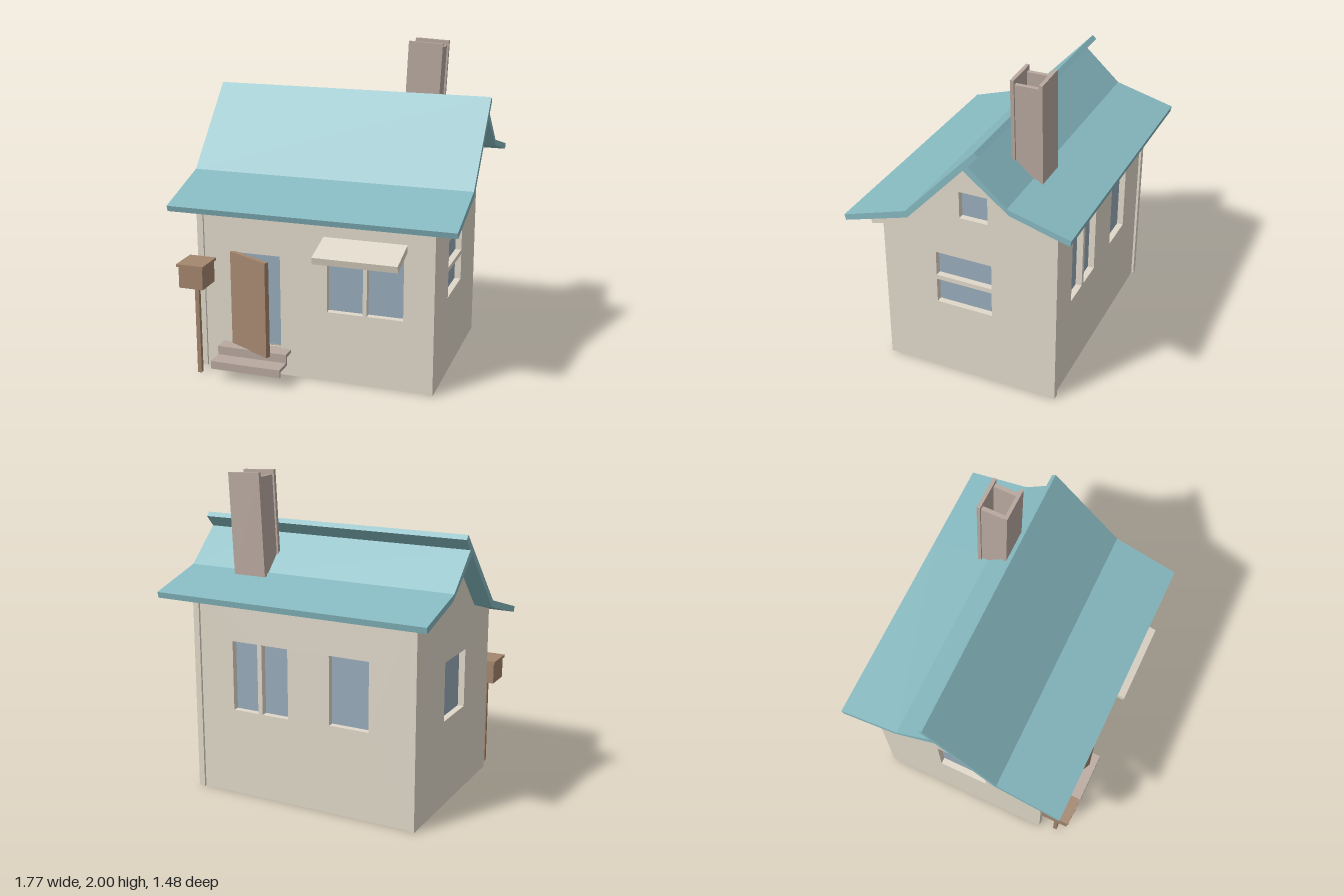
import * as THREE from 'three';

const mat = (color) => new THREE.MeshStandardMaterial({ color, flatShading: true });
const wallMat = mat(0xe0d8c9);
const roofMat = mat(0x86b9c0);
const glassMat = mat(0x98abbb);
const woodMat = mat(0xa3866e);
const stoneMat = mat(0xb9a9a0);

function rectPath([a0, a1, y0, y1]) {
  return new THREE.Path([[a0, y0], [a1, y0], [a1, y1], [a0, y1]].map(([a, y]) => new THREE.Vector2(a, y)));
}

function add(parent, geometry, material, name) {
  const mesh = new THREE.Mesh(geometry, material);
  mesh.name = name;
  parent.add(mesh);
  return mesh;
}

// Box given by its limits
function box(x0, x1, y0, y1, z0, z1) {
  return new THREE.BoxGeometry(x1 - x0, y1 - y0, z1 - z0)
    .translate((x0 + x1) / 2, (y0 + y1) / 2, (z0 + z1) / 2);
}

// [z, y] profile extruded from x0 to x1; holes are [z0, z1, y0, y1]
function sideExtrude(points, x0, x1, holes = []) {
  const shape = new THREE.Shape(points.map(([z, y]) => new THREE.Vector2(-z, y)));
  holes.forEach(([a, b, y0, y1]) => shape.holes.push(rectPath([-b, -a, y0, y1])));
  return new THREE.ExtrudeGeometry(shape, { depth: x1 - x0, bevelEnabled: false })
    .rotateY(Math.PI / 2).translate(x0, 0, 0);
}

// Upright wall across x, from z0 to z1; holes are [x0, x1, y0, y1]
function crossWall(top, z0, z1, holes) {
  const shape = new THREE.Shape(rectPath([-0.735, 0.685, 0, top]).getPoints());
  holes.forEach((h) => shape.holes.push(rectPath(h)));
  return new THREE.ExtrudeGeometry(shape, { depth: z1 - z0, bevelEnabled: false }).translate(0, 0, z0);
}

export function createModel() {
  const house = new THREE.Group();
  house.name = 'house';

  // Gable walls
  const gable = [[0.535, 0], [0.535, 1.09], [0.275, 1.17], [-0.1, 1.57], [-0.37, 1.345], [-0.595, 1.283], [-0.595, 0]];
  const leftWindows = [[-0.18, 0.185, 0.5, 0.665], [-0.18, 0.185, 0.695, 0.86], [-0.16, 0.02, 1.14, 1.315]];
  const rightWindows = [[-0.18, 0.14, 0.55, 0.92]];
  add(house, sideExtrude(gable, 0.685, 0.725, leftWindows), wallMat, 'leftGable');
  add(house, sideExtrude(gable, -0.775, -0.735, rightWindows), wallMat, 'rightGable');

  // Front and back walls, set slightly in from the gable ends
  const frontWindows = [[0.06, 0.285, 0.45, 0.86], [0.31, 0.535, 0.45, 0.86]];
  const backWindows = [[0.28, 0.455, 0.55, 0.99], [0.07, 0.25, 0.55, 0.99], [-0.47, -0.21, 0.56, 0.99]];
  const doorway = [-0.56, -0.24, 0.17, 0.77];
  add(house, crossWall(1.1, 0.48, 0.52, [...frontWindows, doorway]), wallMat, 'frontWall');
  add(house, crossWall(1.285, -0.58, -0.54, backWindows), wallMat, 'backWall');

  // Window panes against the inner wall faces
  const e = 0.01;
  leftWindows.forEach(([a, b, y0, y1]) => add(house, box(0.675, 0.685, y0 - e, y1 + e, a - e, b + e), glassMat, 'leftPane'));
  rightWindows.forEach(([a, b, y0, y1]) => add(house, box(-0.735, -0.725, y0 - e, y1 + e, a - e, b + e), glassMat, 'rightPane'));
  frontWindows.forEach(([a, b, y0, y1]) => add(house, box(a - e, b + e, y0 - e, y1 + e, 0.47, 0.48), glassMat, 'frontPane'));
  backWindows.forEach(([a, b, y0, y1]) => add(house, box(a - e, b + e, y0 - e, y1 + e, -0.54, -0.53), glassMat, 'backPane'));

  // Screen standing behind the doorway
  add(house, box(-0.66, -0.15, 0.12, 0.9, 0.34, 0.35), glassMat, 'entryScreenBack');
  [-0.66, -0.16].forEach((x) => add(house, box(x, x + 0.01, 0.12, 0.9, 0.35, 0.48), glassMat, 'entryScreenSide'));

  // Roof: front slope rises past the ridge, back slope has an opening under the chimney
  const rx = [-0.89, 0.885];
  add(house, sideExtrude([[0.7, 1.08], [0.285, 1.21], [-0.163, 1.69], [-0.188, 1.665], [0.272, 1.17], [0.69, 1.045]]
    .map(([z, y]) => [z, y]), ...rx), roofMat, 'frontRoof');
  const backRoof = [[-0.09, 1.565], [-0.118, 1.6], [-0.355, 1.385], [-0.735, 1.282], [-0.728, 1.245], [-0.37, 1.345]];
  add(house, sideExtrude(backRoof, rx[0], 0.345), roofMat, 'backRoof');
  add(house, sideExtrude(backRoof, 0.5, rx[1]), roofMat, 'backRoof');
  add(house, sideExtrude([backRoof[0], backRoof[1], [-0.25, 1.48], [-0.25, 1.444]], 0.345, 0.5), roofMat, 'backRoofUpper');
  add(house, sideExtrude([[-0.4, 1.373], backRoof[3], backRoof[4], [-0.4, 1.337]], 0.345, 0.5), roofMat, 'backRoofLower');

  // Chimney: two wide plates and two narrower ones between them, leaning a little
  const chimney = new THREE.Group();
  chimney.name = 'chimney';
  chimney.position.set(0.423, 1.36, -0.322);
  chimney.rotation.z = -0.048;
  [-1, 1].forEach((s) => {
    const z = s * 0.085, x = s * 0.083;
    add(chimney, box(-0.108, 0.108, 0, 0.635, z - 0.011, z + 0.011), stoneMat, 'chimneyPlate');
    add(chimney, box(x - 0.013, x + 0.013, 0, 0.605, -0.075, 0.075), stoneMat, 'chimneySide');
  });
  house.add(chimney);

  // Awning over the front windows
  add(house, sideExtrude([[0.515, 0.925], [0.735, 0.862], [0.725, 0.82], [0.515, 0.88]], 0.04, 0.555), wallMat, 'awning');

  // Door standing ajar, hinged at the right jamb
  const door = add(house, box(0, 0.32, 0.17, 0.775, -0.03, 0), woodMat, 'door');
  door.position.set(-0.56, 0, 0.535);
  door.rotation.y = -0.47;

  // Folded entrance steps
  add(house, sideExtrude([[0.5, 0.175], [0.61, 0.175], [0.61, 0.12], [0.72, 0.12], [0.72, 0.07], [0.7, 0.07],
    [0.7, 0.1], [0.59, 0.1], [0.59, 0.153], [0.5, 0.153]], -0.625, -0.175), stoneMat, 'steps');

  // Mailbox
  const mailbox = new THREE.Group();
  mailbox.name = 'mailbox';
  mailbox.position.set(-0.735, 0, 0.645);
  add(mailbox, box(-0.013, 0.013, 0, 0.58, -0.018, 0.008), woodMat, 'mailboxPost');
  add(mailbox, box(-0.078, 0.078, 0.58, 0.715, -0.085, 0.085), woodMat, 'mailboxBody');
  add(mailbox, box(-0.088, 0.088, 0.715, 0.732, -0.096, 0.096), woodMat, 'mailboxLid');
  house.add(mailbox);

  return house;
}
